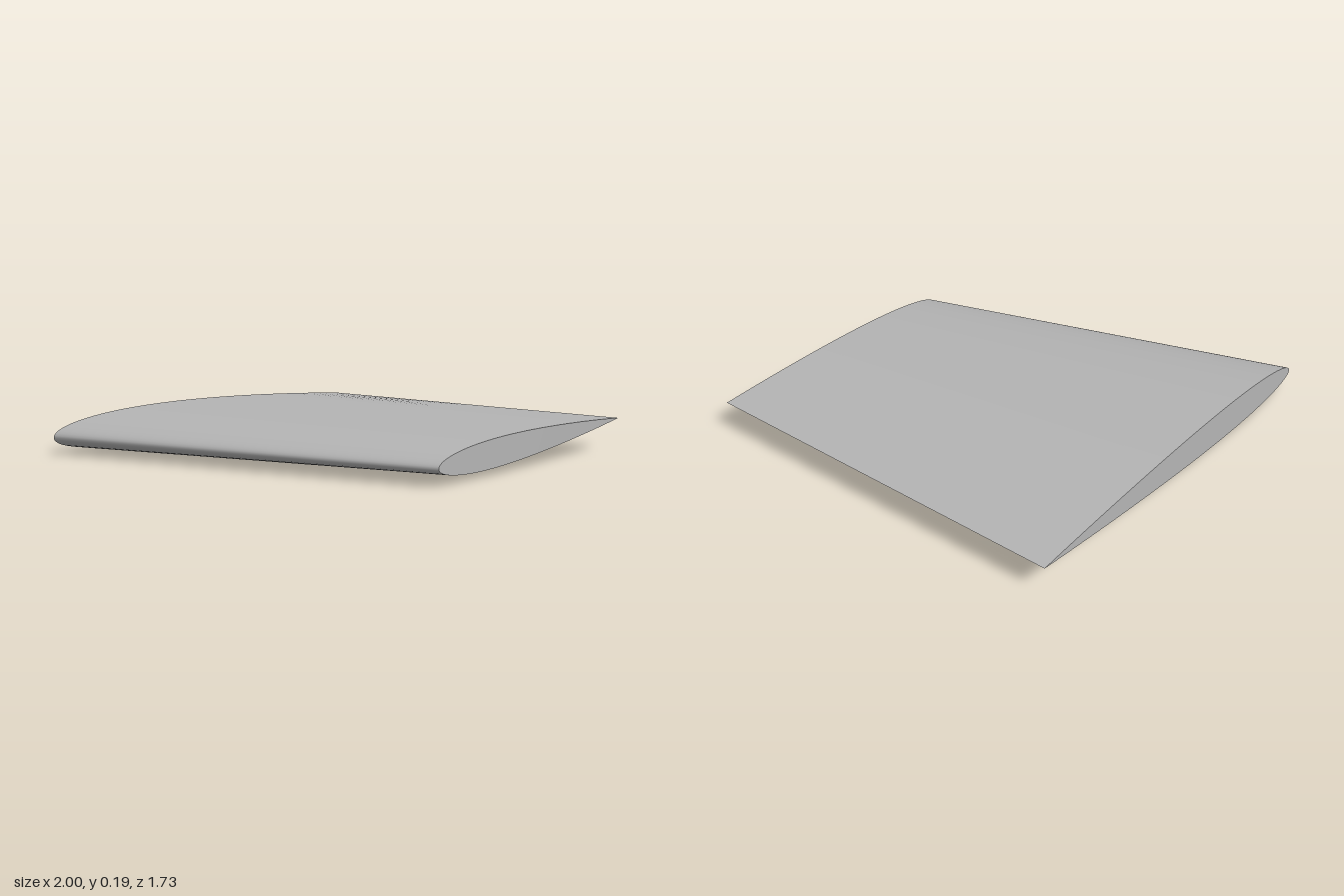
import * as THREE from 'three';

const STEPS = 40;

// Symmetric aerofoil half thickness at chord fraction t, closed at the trailing edge
const halfThickness = (t, ratio) =>
  5 * ratio * (0.2969 * Math.sqrt(t) - 0.126 * t - 0.3516 * t ** 2 + 0.2843 * t ** 3 - 0.1036 * t ** 4);

// Upper and lower outlines of one wing section, each from trailing to leading edge
function section({ lead, trail, z, ratio }) {
  const chord = lead.distanceTo(trail);
  const along = trail.clone().sub(lead);
  const normal = new THREE.Vector2(-along.y, along.x).normalize();
  const outline = (side) => Array.from({ length: STEPS + 1 }, (_, i) => {
    const t = (1 + Math.cos((Math.PI * i) / STEPS)) / 2;
    const p = lead.clone().addScaledVector(along, t)
      .addScaledVector(normal, side * chord * halfThickness(t, ratio));
    return new THREE.Vector3(p.x, p.y, z);
  });
  const upper = outline(1);
  const lower = outline(-1);
  return { upper, lower, loop: [...upper, ...lower.slice(0, -1).reverse()] };
}

// Smooth surface stretched between two rows of points
function strip(a, b) {
  const n = a.length;
  const index = [];
  for (let i = 0; i < n - 1; i++) {
    index.push(i, n + i, i + 1, i + 1, n + i, n + i + 1);
  }
  const geometry = new THREE.BufferGeometry().setFromPoints([...a, ...b]);
  geometry.setIndex(index);
  geometry.computeVertexNormals();
  return geometry;
}

export function createModel() {
  const wing = new THREE.Group();
  wing.name = 'wing';
  const grey = new THREE.MeshStandardMaterial({ color: 0xb4b4b4 });
  grey.name = 'light grey';

  const root = section({
    lead: new THREE.Vector2(-1, 0.076), trail: new THREE.Vector2(0.815, 0.13), z: -0.863, ratio: 0.1,
  });
  const tip = section({
    lead: new THREE.Vector2(-0.305, 0.077), trail: new THREE.Vector2(0.997, 0.146), z: 0.863, ratio: 0.096,
  });

  const add = (name, geometry) => {
    const mesh = new THREE.Mesh(geometry, grey);
    mesh.name = name;
    wing.add(mesh);
  };

  // Wrapped skin and flat end caps
  add('wingSkin', strip(tip.loop, root.loop));
  add('tipCap', strip(tip.lower, tip.upper));
  add('rootCap', strip(root.upper, root.lower));
  return wing;
}
